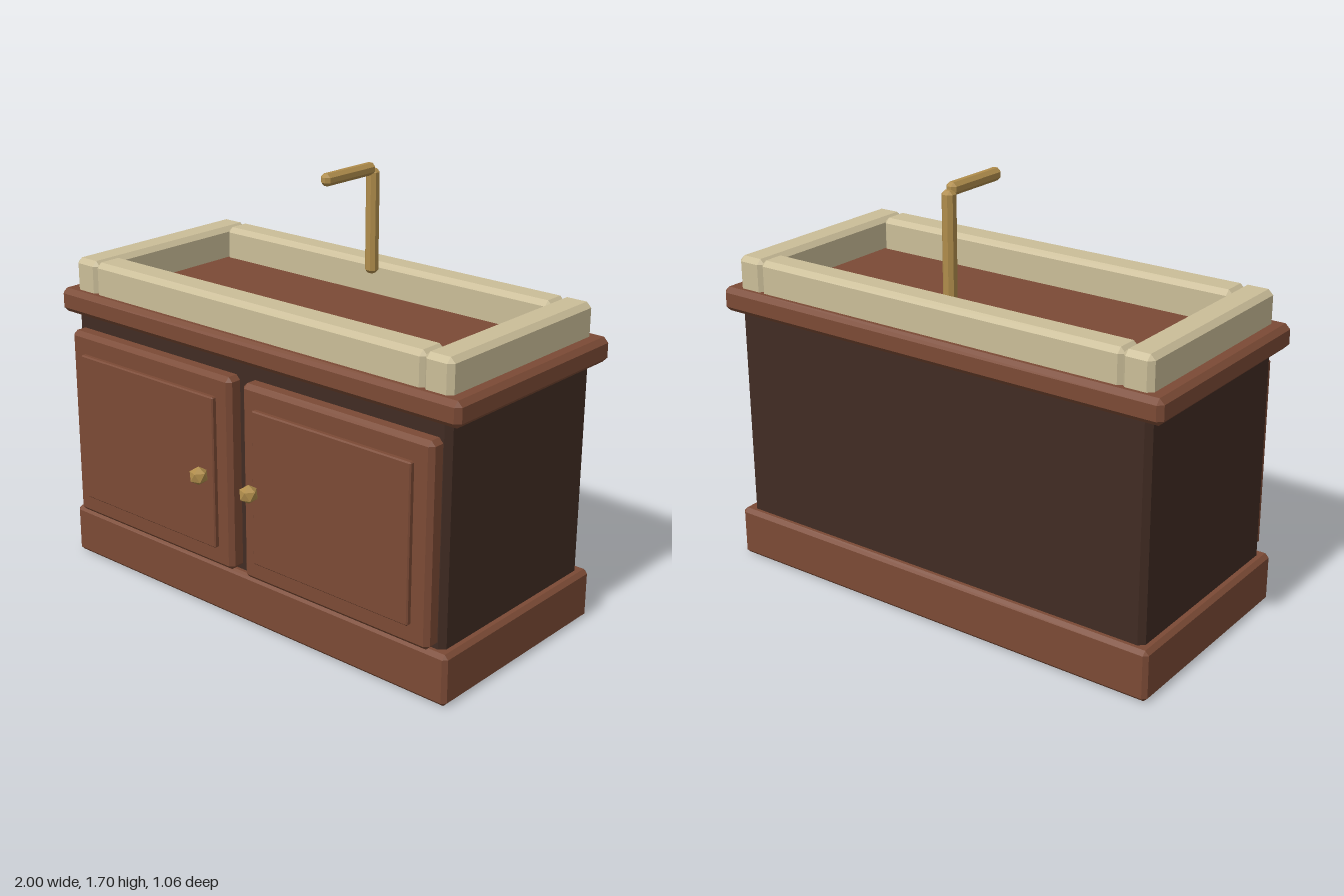
import * as THREE from 'three';
import { ConvexGeometry } from 'three/addons/geometries/ConvexGeometry.js';

const material = (name, color) => {
  const m = new THREE.MeshStandardMaterial({ color });
  m.name = name;
  return m;
};

// Box between two corners with every edge chamfered by b
function chamferBox([x0, y0, z0], [x1, y1, z1], b) {
  const half = [(x1 - x0) / 2, (y1 - y0) / 2, (z1 - z0) / 2];
  const points = [];
  for (const sx of [-1, 1]) for (const sy of [-1, 1]) for (const sz of [-1, 1]) {
    for (let axis = 0; axis < 3; axis++) {
      const h = half.map((v, i) => (i === axis ? v : v - b));
      points.push(new THREE.Vector3(sx * h[0], sy * h[1], sz * h[2]));
    }
  }
  return new ConvexGeometry(points).translate((x0 + x1) / 2, (y0 + y1) / 2, (z0 + z1) / 2);
}

export function createModel() {
  const group = new THREE.Group();
  group.name = 'sinkCabinet';
  const wood = material('reddish wood', 0x7b4a35);
  const darkWood = material('dark wood', 0x412c23);
  const stone = material('cream stone', 0xcabd98);
  const brass = material('brass', 0xaf8c4b);

  const add = (name, geometry, mat) => {
    const mesh = new THREE.Mesh(geometry, mat);
    mesh.name = name;
    group.add(mesh);
    return mesh;
  };
  const box = (name, min, max, bevel, mat) => add(name, chamferBox(min, max, bevel), mat);

  // Cabinet
  box('plinth', [-0.975, 0, -0.525], [0.975, 0.205, 0.4], 0.016, wood);
  box('body', [-0.94, 0.01, -0.495], [0.94, 1.08, 0.37], 0.022, darkWood);
  box('countertop', [-1, 1.062, -0.53], [1, 1.16, 0.405], 0.02, wood);

  // Basin rim
  box('backRim', [-0.825, 1.14, -0.495], [0.825, 1.29, -0.375], 0.02, stone);
  box('frontRim', [-0.825, 1.14, 0.24], [0.825, 1.29, 0.37], 0.02, stone);

  for (const [side, s] of [['left', 1], ['right', -1]]) {
    // Spans x from a to b on the chosen side
    const mirrored = (name, a, b, y, z, bevel, mat) =>
      box(side + name, [Math.min(s * a, s * b), y[0], z[0]], [Math.max(s * a, s * b), y[1], z[1]], bevel, mat);

    mirrored('Rim', 0.815, 0.94, [1.14, 1.29], [-0.495, 0.37], 0.02, stone);
    mirrored('Door', 0.03, 0.915, [0.215, 1.005], [0.35, 0.43], 0.018, wood);
    mirrored('DoorPanel', 0.1, 0.84, [0.3, 0.92], [0.41, 0.45], 0.005, wood);

    // Faceted knob with one vertex pointing up
    const knob = new THREE.IcosahedronGeometry(0.038, 0).rotateZ(-Math.atan(2 / (1 + Math.sqrt(5))));
    add(side + 'Knob', knob, brass).position.set(s * 0.13, 0.613, 0.5);
  }

  // Faucet
  box('faucetPost', [-0.025, 1.25, -0.381], [0.025, 1.67, -0.331], 0.014, brass);
  box('faucetSpout', [-0.023, 1.647, -0.355], [0.023, 1.695, -0.063], 0.014, brass);

  return group;
}
